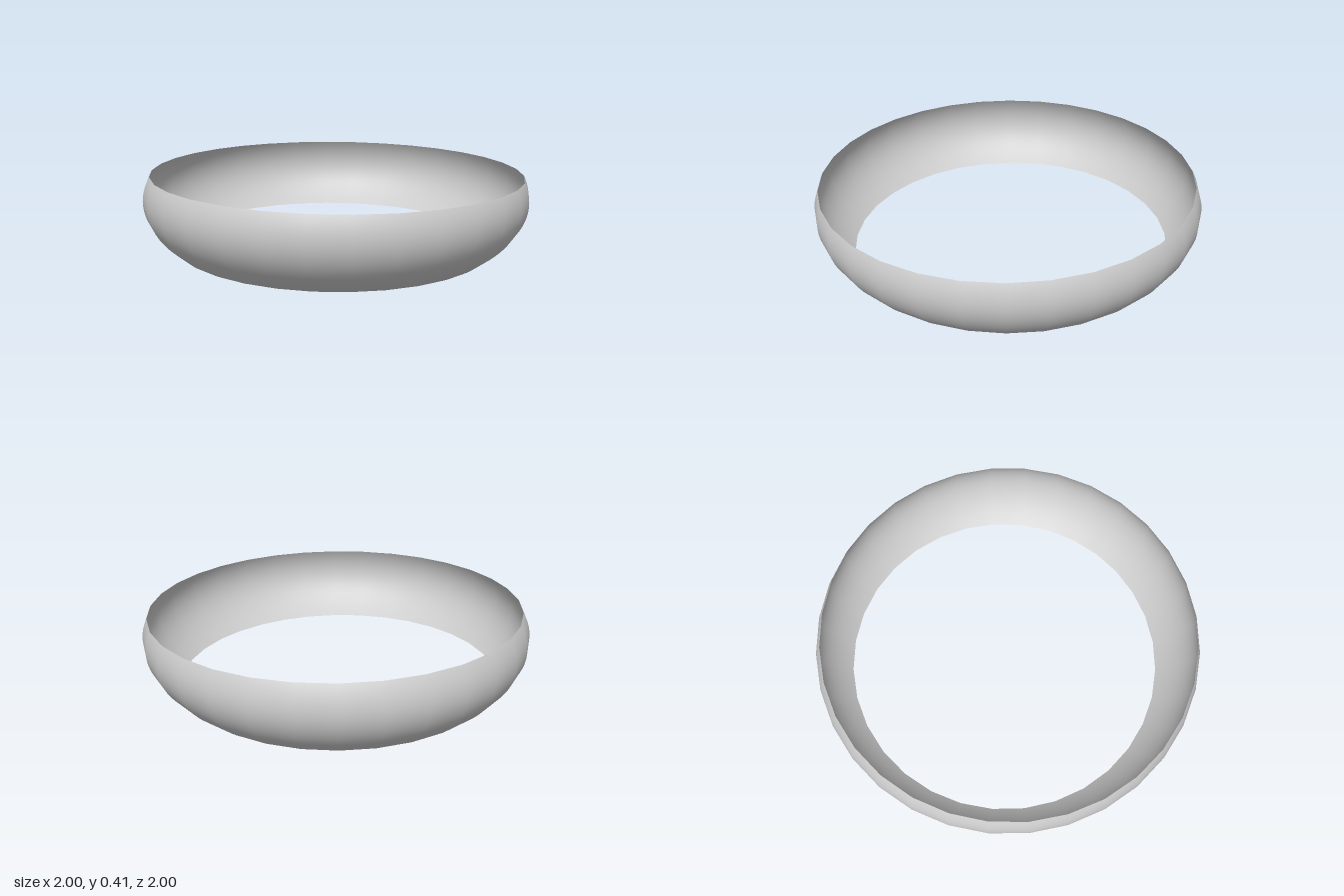
import * as THREE from 'three';

const SEGMENTS = 32, STEPS = 16;
const HALF_HEIGHT = 0.479, CENTRE_Y = 0.278; // flattened sphere of radius 1

// Latitude on the flattened sphere at height y
const latitude = (y) => Math.asin((y - CENTRE_Y) / HALF_HEIGHT);

export function createModel() {
  const group = new THREE.Group();
  group.name = 'ring';

  // Thin band: a zone of the flattened sphere between two slightly tilted cuts
  const profile = Array.from({ length: STEPS + 1 }, (_, i) => new THREE.Vector2(1, i / STEPS));
  const geometry = new THREE.LatheGeometry(profile, SEGMENTS);
  const position = geometry.attributes.position;
  const normal = geometry.attributes.normal;
  const n = new THREE.Vector3();
  for (let i = 0; i < position.count; i++) {
    const sin = position.getX(i), cos = position.getZ(i), t = position.getY(i);
    const low = latitude(0.018 - 0.015 * cos);
    const high = latitude(0.401 - 0.016 * cos);
    const lat = THREE.MathUtils.lerp(low, high, t);
    const r = Math.cos(lat);
    position.setXYZ(i, r * sin, CENTRE_Y + HALF_HEIGHT * Math.sin(lat), r * cos);
    n.set(r * sin, Math.sin(lat) / HALF_HEIGHT, r * cos).normalize();
    normal.setXYZ(i, n.x, n.y, n.z);
  }

  const band = new THREE.Mesh(
    geometry,
    new THREE.MeshStandardMaterial({ color: 0xcccccc, side: THREE.DoubleSide })
  );
  band.name = 'band';
  // Rest the lowest point of the rim on the ground
  geometry.computeBoundingBox();
  band.position.y = -geometry.boundingBox.min.y;
  group.add(band);
  return group;
}
